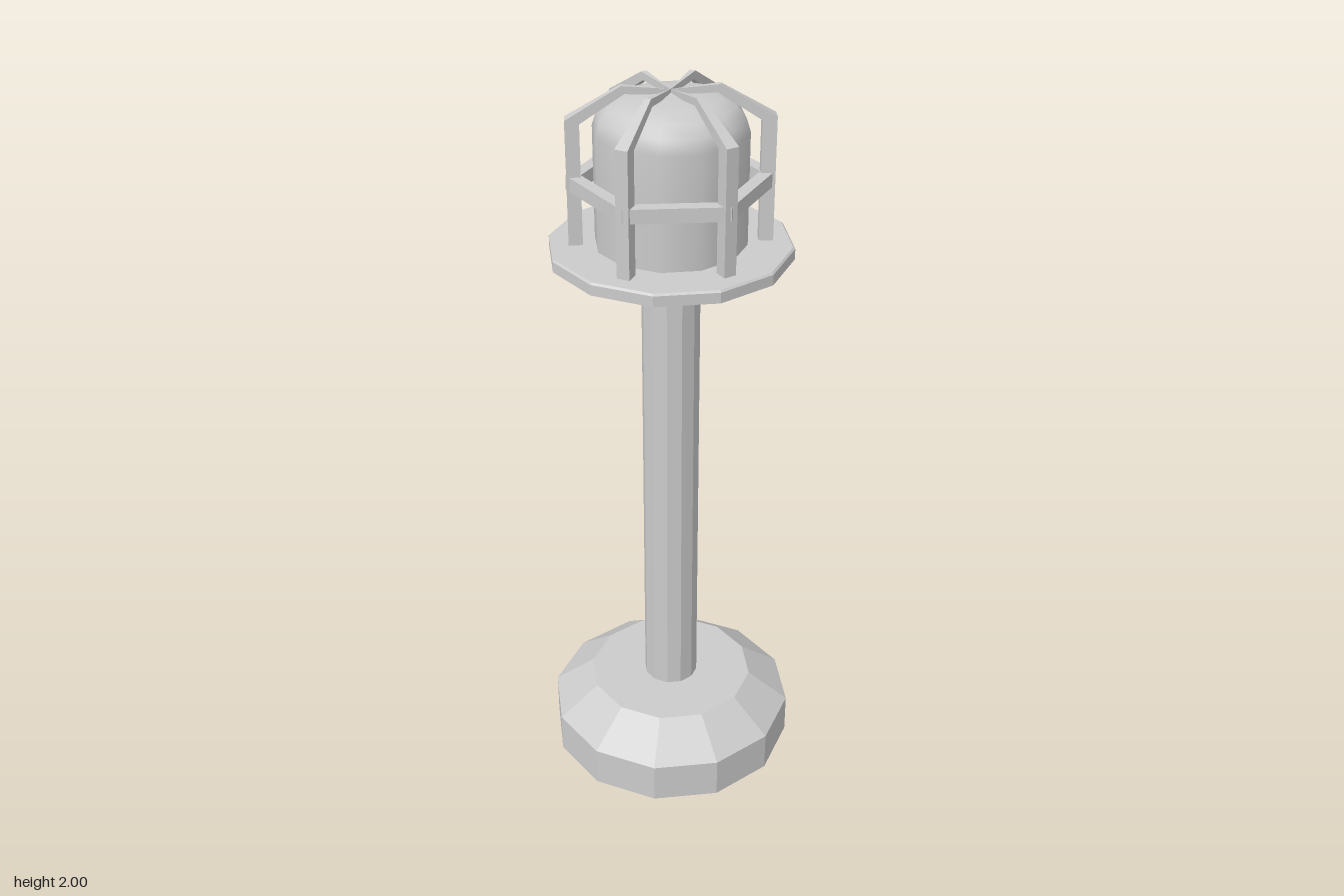
import * as THREE from 'three';

const SIDES = 12;
const BARS = 6;
const CAGE_TURN = THREE.MathUtils.degToRad(11.4);

// Revolves [radius, height] points, listed from the bottom up
function turned(name, points, material, sides = SIDES, start = 0) {
  const profile = points.map(([r, y]) => new THREE.Vector2(r, y));
  const mesh = new THREE.Mesh(new THREE.LatheGeometry(profile, sides, start), material);
  mesh.name = name;
  return mesh;
}

// Cage bar: extruded side profile whose width tapers towards the axis
function barGeometry() {
  const profile = [
    [0.222, 1.59], [0.258, 1.59], [0.258, 1.92], [0.12, 2], [0, 1.988],
    [0, 1.972], [0.112, 1.98], [0.222, 1.91],
  ];
  const shape = new THREE.Shape(profile.map(([r, y]) => new THREE.Vector2(r, y)));
  const geometry = new THREE.ExtrudeGeometry(shape, { depth: 1, bevelEnabled: false });
  geometry.translate(0, 0, -0.5);
  const p = geometry.attributes.position;
  for (let i = 0; i < p.count; i++) p.setZ(i, p.getZ(i) * p.getX(i) * 0.133);
  geometry.computeVertexNormals();
  return geometry;
}

export function createModel() {
  const model = new THREE.Group();
  model.name = 'bollardLight';
  const flat = new THREE.MeshStandardMaterial({ color: 0xcccccc, flatShading: true });
  const smooth = new THREE.MeshStandardMaterial({ color: 0xcccccc });

  // Chamfered foot
  model.add(turned('base', [[0, 0], [0.35, 0], [0.35, 0.118], [0.235, 0.205], [0, 0.205]], flat));

  // Post
  model.add(turned('post', [[0.077, 0.2], [0.077, 1.54]], flat));

  // Lamp plate with a shallow conical underside
  model.add(turned('lampPlate', [
    [0, 1.53], [0.077, 1.53], [0.315, 1.562], [0.315, 1.59], [0.31, 1.595], [0, 1.595],
  ], flat));

  // Rounded lamp cover: straight wall, then a domed top
  const dome = [[0.195, 1.59], [0.195, 1.75], [0.195, 1.89], [0.184, 1.925],
    [0.16, 1.953], [0.125, 1.968], [0.07, 1.976], [0, 1.979]];
  model.add(turned('lampCover', dome, smooth));

  // Protective cage
  const cage = new THREE.Group();
  cage.name = 'cage';
  cage.rotation.y = CAGE_TURN;
  const geometry = barGeometry();
  for (let i = 0; i < BARS; i++) {
    const bar = new THREE.Mesh(geometry, flat);
    bar.name = 'cageBar';
    bar.rotation.y = (i * Math.PI * 2) / BARS;
    cage.add(bar);
  }
  cage.add(turned('cageRing', [
    [0.222, 1.738], [0.26, 1.738], [0.26, 1.775], [0.222, 1.775], [0.222, 1.738],
  ], flat, BARS, Math.PI / 2));
  model.add(cage);

  return model;
}
